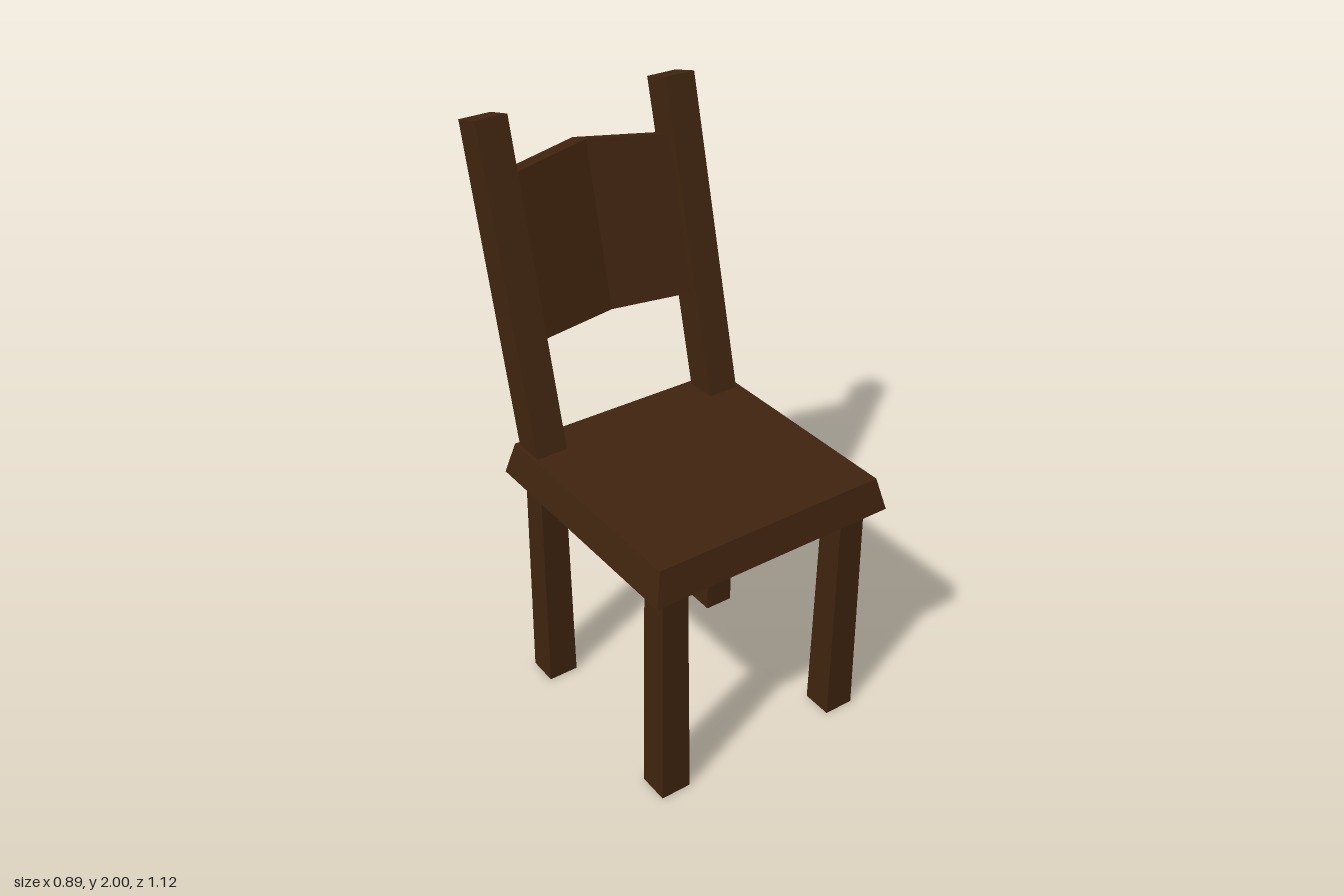
import * as THREE from 'three';

const wood = new THREE.MeshStandardMaterial({ color: 0x40240f, flatShading: true });
wood.name = 'darkWood';

// Solid lofted through four-cornered rings, each counter-clockwise seen from the last ring's end
function loft(name, rings) {
  const pos = [];
  const quad = (a, b, c, d) => [a, b, c, a, c, d].forEach((p) => pos.push(...p));
  for (let r = 0; r < rings.length - 1; r++) {
    for (let i = 0; i < 4; i++) {
      const j = (i + 1) % 4;
      quad(rings[r][i], rings[r][j], rings[r + 1][j], rings[r + 1][i]);
    }
  }
  quad(...[...rings[0]].reverse());
  quad(...rings[rings.length - 1]);
  const geometry = new THREE.BufferGeometry();
  geometry.setAttribute('position', new THREE.Float32BufferAttribute(pos, 3));
  geometry.computeVertexNormals();
  const mesh = new THREE.Mesh(geometry, wood);
  mesh.name = name;
  return mesh;
}

// Horizontal rectangle; the back edge may sit at a different height
const rect = (x0, x1, zBack, zFront, yFront, yBack = yFront) => [
  [x0, yFront, zFront], [x1, yFront, zFront], [x1, yBack, zBack], [x0, yBack, zBack],
];

export function createModel() {
  const chair = new THREE.Group();
  chair.name = 'chair';

  // Seat with bevelled edges
  chair.add(loft('seat', [
    rect(-0.445, 0.445, -0.333, 0.556, 0.825),
    rect(-0.417, 0.417, -0.307, 0.53, 0.938),
  ]));

  for (const [side, x] of [['left', 0.343], ['right', -0.35]]) {
    // Legs, slightly narrower at the top
    for (const [end, z] of [['Front', 0.465], ['Back', -0.234]]) {
      chair.add(loft(`${side}${end}Leg`, [
        rect(x - 0.054, x + 0.054, z - 0.054, z + 0.054, 0),
        rect(x - 0.047, x + 0.047, z - 0.047, z + 0.047, 0.83),
      ]));
    }
    // Leaning back post
    chair.add(loft(`${side}Post`, [
      rect(x - 0.056, x + 0.056, -0.284, -0.172, 0.9),
      rect(x - 0.056, x + 0.056, -0.552, -0.446, 2.0, 1.974),
    ]));
  }

  // Backrest panel, bent and peaked in the middle
  const section = (x, z, top) => [
    [x, 1.292, -0.295 + z], [x, 1.27, -0.372 + z],
    [x, top - 0.02, -0.507 + z], [x, top, -0.425 + z],
  ];
  chair.add(loft('backrest', [
    section(-0.298, 0, 1.815),
    section(0, -0.054, 1.845),
    section(0.291, 0, 1.815),
  ]));

  return chair;
}
